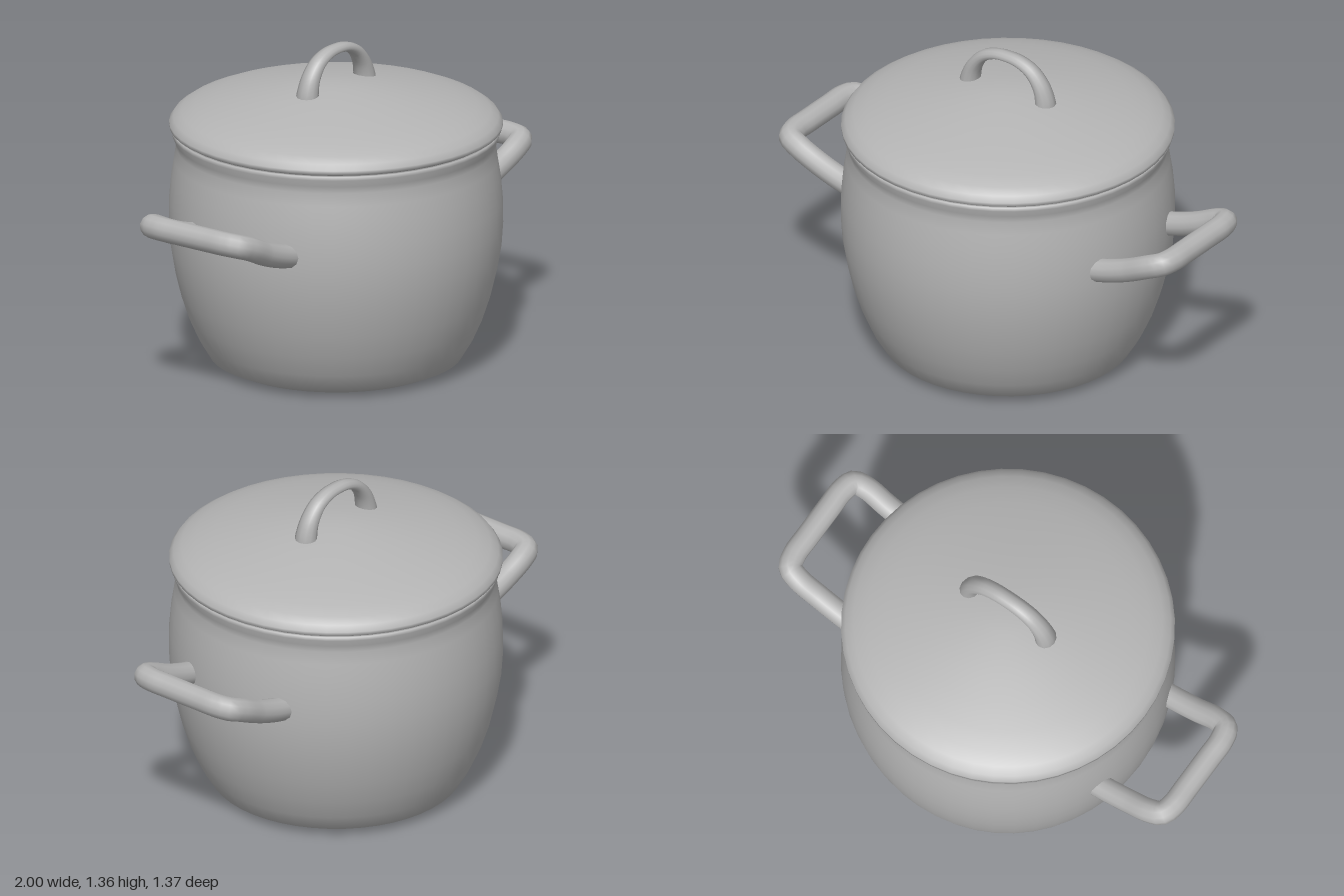
import * as THREE from 'three';

const metal = new THREE.MeshStandardMaterial({ color: 0xb4b4b4 });
metal.name = 'grey metal';

const V = (x, y, z) => new THREE.Vector3(x, y, z);

function addMesh(group, name, geometry) {
  const mesh = new THREE.Mesh(geometry, metal);
  mesh.name = name;
  group.add(mesh);
  return mesh;
}

// Turned part; each profile pair is [radius, height], outside from bottom to top
function turned(profile) {
  return new THREE.LatheGeometry(profile.map(([r, y]) => new THREE.Vector2(r, y)), 48);
}

// Tube whose section is scaled along its length: scaleAt(t) gives [in-plane, depth] half sizes
function taperedTube(curve, steps, sides, scaleAt) {
  const g = new THREE.TubeGeometry(curve, steps, 1, sides);
  const p = g.attributes.position;
  for (let i = 0; i <= steps; i++) {
    const c = curve.getPointAt(i / steps);
    const [a, b] = scaleAt(i / steps);
    for (let j = 0; j <= sides; j++) {
      const k = i * (sides + 1) + j;
      p.setXYZ(k,
        c.x + (p.getX(k) - c.x) * a,
        c.y + (p.getY(k) - c.y) * a,
        c.z + (p.getZ(k) - c.z) * b);
    }
  }
  return g;
}

export function createModel() {
  const pot = new THREE.Group();
  pot.name = 'cookingPot';

  // Hollow body with a bellied wall and flared rim
  addMesh(pot, 'body', turned([
    [0, 0], [0.42, 0], [0.455, 0.006], [0.52, 0.035], [0.565, 0.11], [0.605, 0.2],
    [0.638, 0.3], [0.662, 0.4], [0.679, 0.5], [0.686, 0.6], [0.685, 0.7],
    [0.676, 0.8], [0.665, 0.87], [0.657, 0.925], [0.662, 0.955], [0.674, 0.985],
    [0.672, 1.0], [0.655, 1.002], [0.63, 0.93], [0.655, 0.65], [0.61, 0.3],
    [0.5, 0.06], [0, 0.04],
  ]));

  // Domed lid with a rolled edge and closed underside
  addMesh(pot, 'lid', turned([
    [0, 1.003], [0.62, 1.003], [0.67, 1.006], [0.684, 1.014], [0.685, 1.03],
    [0.668, 1.054], [0.635, 1.077], [0.58, 1.1], [0.5, 1.124], [0.4, 1.147],
    [0.3, 1.167], [0.2, 1.184], [0.1, 1.196], [0.04, 1.2], [0, 1.2],
  ]));

  // Arched lid handle, thicker at its feet
  const arch = new THREE.CatmullRomCurve3([
    V(-0.19, 1.15, 0), V(-0.185, 1.2, 0), V(-0.165, 1.255, 0), V(-0.12, 1.308, 0),
    V(-0.06, 1.335, 0), V(0, 1.341, 0), V(0.06, 1.335, 0), V(0.12, 1.308, 0),
    V(0.165, 1.255, 0), V(0.185, 1.2, 0), V(0.19, 1.15, 0),
  ]);
  addMesh(pot, 'lidHandle', taperedTube(arch, 40, 12, (t) => {
    const foot = Math.pow(Math.abs(2 * t - 1), 2);
    return [0.019 + 0.029 * foot, 0.037 + 0.015 * foot];
  }));

  // Side handles: rounded U loops sloping up and outward
  for (const [side, name] of [[1, 'leftHandle'], [-1, 'rightHandle']]) {
    const half = [
      [0.58, 0.64, 0.243], [0.68, 0.665, 0.243], [0.78, 0.7, 0.243],
      [0.88, 0.746, 0.243], [0.932, 0.765, 0.226], [0.95, 0.77, 0.17], [0.951, 0.77, 0.08],
    ];
    const points = [
      ...half.map(([x, y, z]) => V(side * x, y, z)),
      ...half.slice().reverse().map(([x, y, z]) => V(side * x, y, -z)),
    ];
    const loop = new THREE.CatmullRomCurve3(points);
    addMesh(pot, name, new THREE.TubeGeometry(loop, 64, 0.05, 12));
  }

  return pot;
}
